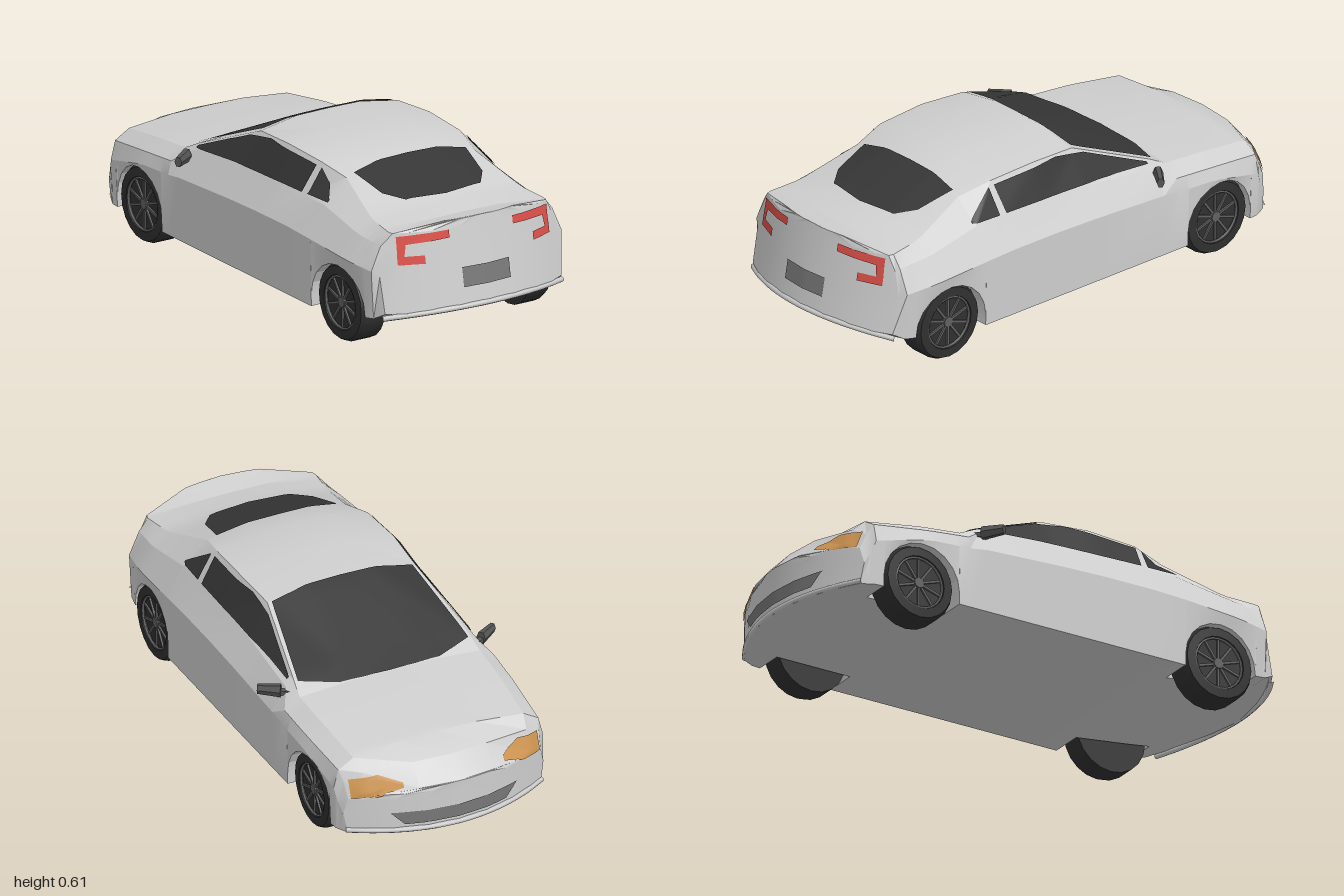
import * as THREE from 'three';
import { toCreasedNormals } from 'three/addons/utils/BufferGeometryUtils.js';

const mat = (name, color, side = THREE.FrontSide) => {
  const m = new THREE.MeshStandardMaterial({ color, side });
  m.name = name;
  return m;
};
const D = THREE.DoubleSide;
const paint = mat('silver paint', 0xcfcfcf);
const glass = mat('dark glass', 0x363636, D);
const rubber = mat('rubber', 0x303030);
const alloy = mat('alloy', 0x606060);
const trim = mat('grey trim', 0x555555);
const plateGrey = mat('plate grey', 0x777777, D);
const red = mat('red lamp', 0xdc5048, D);
const amber = mat('amber lamp', 0xcc9350, D);

const WHEELS = [-0.63, 0.64];
const ARCH = 0.155;

// Body stations: z, bow, floor y, sill x, flank x y, shoulder x y, roof rail x y, crown y
const STATIONS = [
  [-0.99, 0.13, 0.09, 0.385, 0.40, 0.17, 0.385, 0.23, 0.33, 0.25, 0.27],
  [-0.92, 0.08, 0.09, 0.40, 0.41, 0.21, 0.39, 0.29, 0.33, 0.325, 0.345],
  [-0.82, 0, 0.09, 0.41, 0.418, 0.26, 0.40, 0.33, 0.34, 0.365, 0.385],
  [-0.60, 0, 0.09, 0.43, 0.432, 0.31, 0.415, 0.355, 0.355, 0.395, 0.41],
  [-0.43, 0, 0.09, 0.43, 0.433, 0.32, 0.42, 0.37, 0.36, 0.41, 0.425],
  [-0.36, 0, 0.09, 0.43, 0.435, 0.33, 0.38, 0.42, 0.35, 0.445, 0.457],
  [-0.04, 0, 0.09, 0.43, 0.435, 0.345, 0.37, 0.45, 0.295, 0.575, 0.605],
  [0.15, 0, 0.09, 0.43, 0.435, 0.35, 0.37, 0.455, 0.305, 0.585, 0.612],
  [0.35, 0, 0.09, 0.43, 0.435, 0.35, 0.37, 0.46, 0.30, 0.575, 0.605],
  [0.48, 0, 0.09, 0.43, 0.435, 0.345, 0.37, 0.46, 0.275, 0.545, 0.577],
  [0.71, 0, 0.12, 0.42, 0.43, 0.33, 0.38, 0.42, 0.32, 0.465, 0.495],
  [0.84, 0, 0.14, 0.40, 0.41, 0.32, 0.37, 0.41, 0.335, 0.455, 0.472],
  [0.99, 0.12, 0.165, 0.38, 0.385, 0.30, 0.36, 0.40, 0.33, 0.455, 0.488],
];

function stationAt(z) {
  let i = 0;
  while (i < STATIONS.length - 2 && STATIONS[i + 1][0] < z) i++;
  const a = STATIONS[i], b = STATIONS[i + 1], t = (z - a[0]) / (b[0] - a[0]);
  return a.map((v, k) => v + (b[k] - v) * t);
}

// Closed cross-section; xs narrows it for the rounded nose and tail
function ring([z, bow, yb, sx, fx, fy, hx, hy, rx, ry, yt], arch, xs = 1) {
  const ya = arch === null ? yb : Math.max(yb, 0.135 + arch);
  const half = [[0, yb], [0.3, yb], [0.3, ya], [sx, ya], [fx, fy], [hx, hy], [rx, ry], [rx * 0.45, yt - 0.002], [0, yt]];
  const full = [...half, ...half.slice(1, -1).reverse().map(([x, y]) => [-x, y])];
  const lean = Math.max(0, z - 0.84) * 1.2;
  return full.map(([x, y]) => new THREE.Vector3(x * xs, y, z + Math.sign(-z) * bow * (x * xs / 0.4) ** 2 - lean * (y - 0.18)));
}

function buildBody() {
  const cuts = STATIONS.map(s => ({ z: s[0], arch: null }))
    .filter(c => WHEELS.every(w => Math.abs(c.z - w) > ARCH));
  for (const w of WHEELS) {
    cuts.push({ z: w - ARCH, arch: null });
    for (let k = 0; k <= 10; k++) {
      const a = Math.PI * (1 - k / 10);
      cuts.push({ z: w + ARCH * Math.cos(a), arch: ARCH * Math.sin(a) });
    }
    cuts.push({ z: w + ARCH, arch: null });
  }
  cuts.sort((a, b) => Math.abs(a.z - b.z) < 1e-6 ? 0 : a.z - b.z);
  const nose = STATIONS[0], tail = STATIONS[STATIONS.length - 1];
  const steps = [0, 0.3, 0.6, 0.85];
  const rings = [
    ...steps.map(s => ring(nose, null, s)),
    ...cuts.map(c => ring(stationAt(c.z), c.arch)),
    ...steps.reverse().map(s => ring(tail, null, s)),
  ];
  const pos = [], tri = new THREE.Triangle();
  const add = (a, b, c) => {
    if (tri.set(a, b, c).getArea() > 1e-8) for (const p of [a, b, c]) pos.push(p.x, p.y, p.z);
  };
  for (let i = 0; i < rings.length - 1; i++) {
    const r = rings[i], s = rings[i + 1], n = r.length;
    for (let j = 0; j < n; j++) {
      const k = (j + 1) % n;
      add(r[j], r[k], s[j]);
      add(r[k], s[k], s[j]);
    }
  }
  const g = new THREE.BufferGeometry();
  g.setAttribute('position', new THREE.Float32BufferAttribute(pos, 3));
  return new THREE.Mesh(toCreasedNormals(g, 0.3), paint);
}

// Point at fraction t along a list of 2D points
function along(line, t) {
  const f = t * (line.length - 1), i = Math.min(Math.floor(f), line.length - 2), u = f - i;
  return [0, 1].map(k => line[i][k] + (line[i + 1][k] - line[i][k]) * u);
}

// How flat outlines are laid onto each side of the body
const SIDES = {
  left: (a, b) => [new THREE.Vector3(3, b, a), new THREE.Vector3(-1, 0, 0)],
  right: (a, b) => [new THREE.Vector3(-3, b, a), new THREE.Vector3(1, 0, 0)],
  top: (a, b) => [new THREE.Vector3(a, 3, b), new THREE.Vector3(0, -1, 0)],
  tail: (a, b) => [new THREE.Vector3(a, b, 3), new THREE.Vector3(0, 0, -1)],
  nose: (a, b) => [new THREE.Vector3(a, b, -3), new THREE.Vector3(0, 0, 1)],
};

export function createModel() {
  const car = new THREE.Group();
  car.name = 'car';
  const put = (mesh, name) => { mesh.name = name; car.add(mesh); return mesh; };
  const body = put(buildBody(), 'body');
  const ray = new THREE.Raycaster();

  // Thin panel between two outlines, following the body surface
  function panel(name, material, side, lower, upper, nu = 24, nv = 12) {
    const pos = [], idx = [];
    for (let i = 0; i <= nu; i++) for (let j = 0; j <= nv; j++) {
      const p = along(lower, i / nu), q = along(upper, i / nu), t = j / nv;
      ray.set(...SIDES[side](p[0] + (q[0] - p[0]) * t, p[1] + (q[1] - p[1]) * t));
      const hit = ray.intersectObject(body)[0];
      const v = hit ? hit.point.addScaledVector(hit.face.normal, 0.005) : new THREE.Vector3(NaN, 0, 0);
      pos.push(v.x, v.y, v.z);
    }
    const ok = k => !Number.isNaN(pos[k * 3]);
    for (let i = 0; i < nu; i++) for (let j = 0; j < nv; j++) {
      const a = i * (nv + 1) + j, b = a + nv + 1;
      if ([a, b, a + 1, b + 1].every(ok)) idx.push(a, b, a + 1, b, b + 1, a + 1);
    }
    const g = new THREE.BufferGeometry();
    g.setAttribute('position', new THREE.Float32BufferAttribute(pos.map(v => v || 0), 3));
    g.setIndex(idx);
    g.computeVertexNormals();
    put(new THREE.Mesh(g, material), name);
  }

  // Glass
  panel('windscreen', glass, 'top',
    [[-0.34, -0.375], [-0.2, -0.425], [0, -0.435], [0.2, -0.425], [0.34, -0.375]],
    [[-0.28, -0.045], [-0.14, -0.038], [0, -0.036], [0.14, -0.038], [0.28, -0.045]]);
  panel('rearWindow', glass, 'top',
    [[-0.215, 0.62], [-0.16, 0.69], [0, 0.71], [0.16, 0.69], [0.215, 0.62]],
    [[-0.24, 0.475], [-0.14, 0.468], [0, 0.466], [0.14, 0.468], [0.24, 0.475]]);
  for (const side of ['left', 'right']) {
    panel(side + 'DoorWindow', glass, side,
      [[0.335, 0.465], [0.05, 0.458], [-0.1, 0.453], [-0.34, 0.435]],
      [[0.345, 0.56], [0.05, 0.572], [-0.08, 0.55], [-0.34, 0.442]]);
    panel(side + 'QuarterWindow', glass, side,
      [[0.365, 0.465], [0.49, 0.468]], [[0.37, 0.557], [0.49, 0.474]]);
  }

  // Lamps, plate and grille
  for (const s of [1, -1]) {
    const side = s > 0 ? 'left' : 'right';
    const flip = line => line.map(([x, y]) => [s * x, y]);
    panel(side + 'TailLampTop', red, 'tail', flip([[0.135, 0.424], [0.322, 0.41]]), flip([[0.135, 0.453], [0.322, 0.443]]), 8, 3);
    panel(side + 'TailLampSide', red, 'tail', flip([[0.3, 0.37], [0.324, 0.37]]), flip([[0.292, 0.412], [0.322, 0.41]]), 3, 4);
    panel(side + 'TailLampLow', red, 'tail', flip([[0.23, 0.34], [0.324, 0.34]]), flip([[0.23, 0.37], [0.324, 0.37]]), 6, 3);
    panel(side + 'HeadLamp', amber, 'nose',
      flip([[0.2, 0.272], [0.29, 0.245], [0.375, 0.235]]), flip([[0.2, 0.288], [0.28, 0.315], [0.375, 0.30]]), 12, 8);
  }
  panel('numberPlate', plateGrey, 'tail', [[-0.1, 0.24], [0.1, 0.24]], [[-0.1, 0.312], [0.1, 0.312]], 10, 4);
  panel('grille', plateGrey, 'nose', [[-0.2, 0.125], [0.2, 0.125]], [[-0.25, 0.175], [0.25, 0.175]], 16, 3);

  // Bumper lips
  const lip = (name, z, bow, w, y, rise) => {
    const pts = [-1, -0.75, -0.4, 0, 0.4, 0.75, 1].map(t =>
      new THREE.Vector3(t * w, y + rise * t * t, z + Math.sign(-z) * bow * (t * w / 0.4) ** 2));
    put(new THREE.Mesh(new THREE.TubeGeometry(new THREE.CatmullRomCurve3(pts), 24, 0.011, 6), paint), name);
  };
  lip('frontLip', -0.988, 0.13, 0.39, 0.101, 0);
  lip('rearLip', 0.988, 0.12, 0.385, 0.172, -0.025);

  // Wheels
  const tyreGeo = toCreasedNormals(new THREE.LatheGeometry(
    [[0, -0.05], [0.145, -0.05], [0.145, 0.03], [0.136, 0.048], [0.102, 0.05], [0.097, 0.036], [0, 0.034]]
      .map(p => new THREE.Vector2(...p)), 20), 0.5);
  const spokeGeo = new THREE.BoxGeometry(0.085, 0.01, 0.009).translate(0.052, 0.037, 0);
  const hubGeo = new THREE.CylinderGeometry(0.02, 0.025, 0.014, 12).translate(0, 0.038, 0);
  const rimGeo = new THREE.TorusGeometry(0.097, 0.005, 5, 24).rotateX(Math.PI / 2).translate(0, 0.043, 0);
  for (const s of [1, -1]) for (const z of WHEELS) {
    const wheel = new THREE.Group();
    const piece = (geo, m, name) => {
      const mesh = new THREE.Mesh(geo, m);
      mesh.name = name;
      wheel.add(mesh);
      return mesh;
    };
    piece(tyreGeo, rubber, 'tyre');
    piece(hubGeo, alloy, 'hub');
    piece(rimGeo, alloy, 'rim');
    for (let i = 0; i < 10; i++) piece(spokeGeo, alloy, 'spoke').rotation.y = i * Math.PI / 5;
    wheel.rotation.z = -s * Math.PI / 2;
    wheel.position.set(s * 0.362, 0.145, z);
    put(wheel, (s > 0 ? 'left' : 'right') + (z < 0 ? 'Bonnet' : 'Boot') + 'Wheel');
  }

  // Door mirrors
  for (const s of [1, -1]) {
    const mirror = new THREE.Group();
    const pod = new THREE.Mesh(toCreasedNormals(new THREE.CylinderGeometry(0.02, 0.027, 0.085, 6), 0.3), trim);
    pod.name = 'mirrorPod';
    pod.scale.z = 0.7;
    pod.rotation.z = -Math.PI / 2;
    const stalk = new THREE.Mesh(new THREE.BoxGeometry(0.06, 0.018, 0.02), trim);
    stalk.name = 'mirrorStalk';
    stalk.position.set(-0.05, -0.006, 0);
    mirror.add(pod, stalk);
    mirror.position.set(s * 0.435, 0.41, -0.335);
    mirror.rotation.y = s > 0 ? -0.6 : Math.PI + 0.6;
    put(mirror, s > 0 ? 'leftMirror' : 'rightMirror');
  }
  return car;
}
